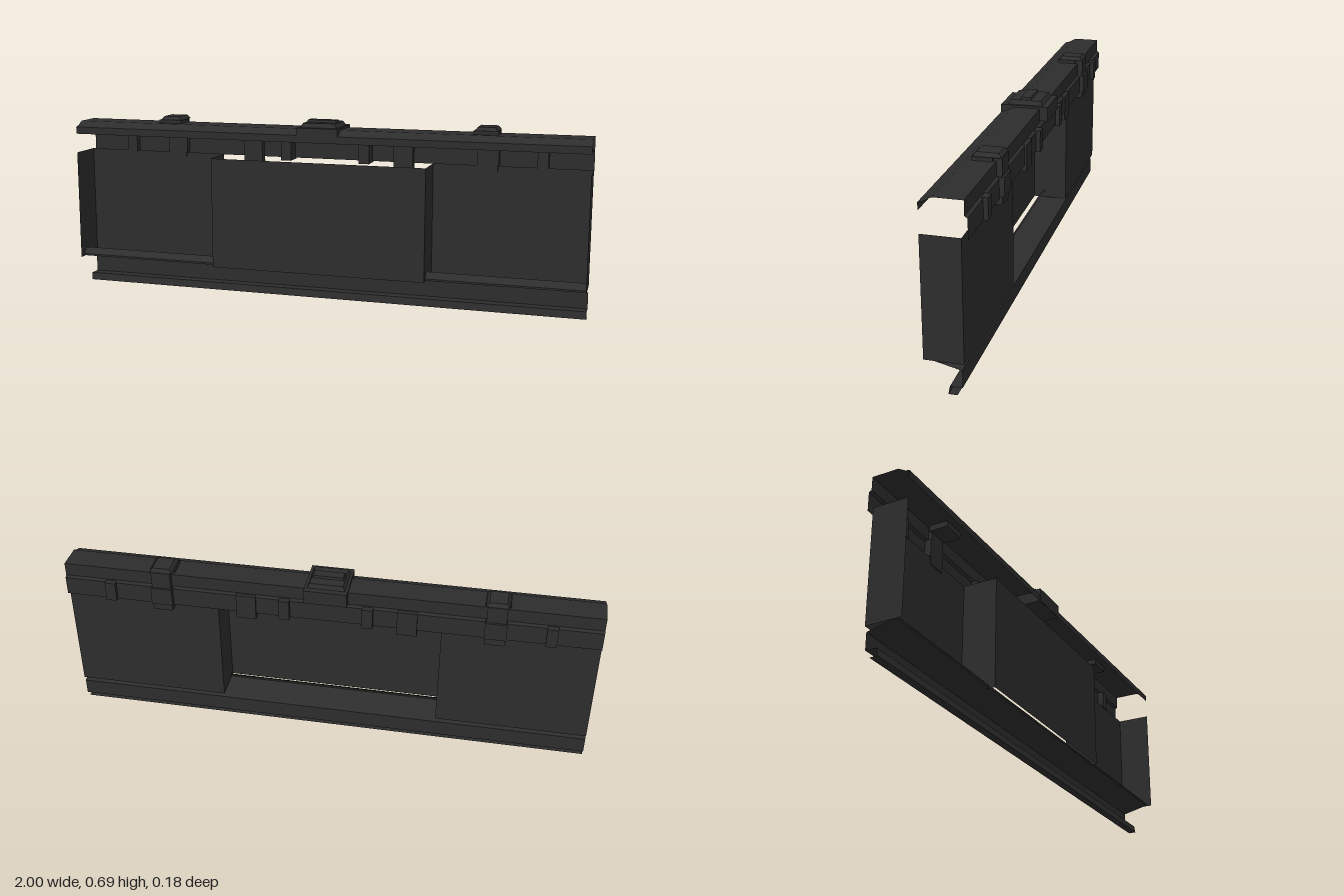
import * as THREE from 'three';

const charcoal = new THREE.MeshStandardMaterial({ color: 0x2d2d2d, side: THREE.DoubleSide });
charcoal.name = 'charcoal';

// Open sheet: a polyline swept between two ends, with hard folds
function foldedSheet(name, path, start, end, place) {
  const pos = [];
  for (let i = 0; i < path.length - 1; i++) {
    const a = place(path[i], start), b = place(path[i + 1], start);
    const c = place(path[i + 1], end), d = place(path[i], end);
    pos.push(...a, ...b, ...c, ...a, ...c, ...d);
  }
  const geo = new THREE.BufferGeometry();
  geo.setAttribute('position', new THREE.Float32BufferAttribute(pos, 3));
  geo.computeVertexNormals();
  const mesh = new THREE.Mesh(geo, charcoal);
  mesh.name = name;
  return mesh;
}

// Box given by its limits, optionally narrowed at the top
function block(name, [x0, x1], [y0, y1], [z0, z1], taper = 0) {
  const geo = new THREE.BoxGeometry(x1 - x0, y1 - y0, z1 - z0).toNonIndexed();
  const p = geo.attributes.position;
  for (let i = 0; i < p.count; i++) {
    if (taper && p.getY(i) > 0) {
      p.setX(i, p.getX(i) - Math.sign(p.getX(i)) * taper);
      p.setZ(i, p.getZ(i) - Math.sign(p.getZ(i)) * taper);
    }
  }
  geo.computeVertexNormals();
  const mesh = new THREE.Mesh(geo, charcoal);
  mesh.name = name;
  mesh.position.set((x0 + x1) / 2, (y0 + y1) / 2, (z0 + z1) / 2);
  return mesh;
}

export function createModel() {
  const model = new THREE.Group();
  model.name = 'wallPanel';
  const alongX = ([z, y], x) => [x, y, z];
  const alongY = ([x, z], y) => [x, y, z];

  // Folded wall: two recessed bays either side of a forward centre bay
  model.add(foldedSheet('wall', [
    [-1, 0.085], [-1, -0.049], [-0.425, -0.049], [-0.425, 0.085],
    [0.415, 0.085], [0.415, -0.049], [1, -0.049], [1, 0.085],
  ], 0.112, 0.54, alongY));

  // Skirting with a forward lip and a recessed foot
  model.add(foldedSheet('skirting', [
    [0.04, 0.145], [0.062, 0.122], [0.062, 0.115], [-0.042, 0.09],
    [-0.042, 0.028], [0, 0.028], [0.005, 0], [-0.025, 0],
  ], -1, 1, alongX));

  // Top rail, open below, with a board hanging at the back
  model.add(foldedSheet('topRail', [
    [0.085, 0.615], [0.085, 0.642], [0.066, 0.647], [0.04, 0.662],
    [-0.06, 0.662], [-0.06, 0.612], [-0.07, 0.605], [-0.07, 0.535],
  ], -1, 1, alongX));

  // Centre cap with stepped top
  const cap = new THREE.Group();
  cap.name = 'centreCap';
  cap.add(
    block('capBase', [-0.08, 0.08], [0.617, 0.67], [-0.09, 0.086]),
    block('capTop', [-0.07, 0.07], [0.67, 0.686], [-0.068, 0.063], 0.008),
    block('capRidge', [-0.058, 0.058], [0.685, 0.695], [-0.022, 0.02], 0.003),
  );
  model.add(cap);

  for (const s of [-1, 1]) {
    // Tall clips hooked over the rail
    const clip = new THREE.Group();
    clip.name = 'railClip';
    clip.add(
      block('clipHead', [-0.046, 0.046], [0.64, 0.675], [-0.05, 0.022]),
      block('clipCrown', [-0.042, 0.042], [0.675, 0.688], [-0.078, 0.018], 0.01),
      block('clipStrap', [-0.036, 0.036], [0.513, 0.675], [-0.08, -0.045]),
      block('clipBand', [-0.04, 0.04], [0.542, 0.61], [-0.088, -0.045]),
    );
    clip.position.x = s * 0.62;
    model.add(clip);

    // Short brackets along the hanging board
    for (const [x, half, back, low, front] of [
      [0.155, 0.02, -0.086, 0.53, -0.015],
      [0.3, 0.037, -0.078, 0.513, -0.045],
      [0.82, 0.02, -0.086, 0.535, -0.045],
    ]) {
      model.add(block('boardBracket', [s * x - half, s * x + half], [low, 0.61], [back, front]));
    }
  }
  return model;
}
